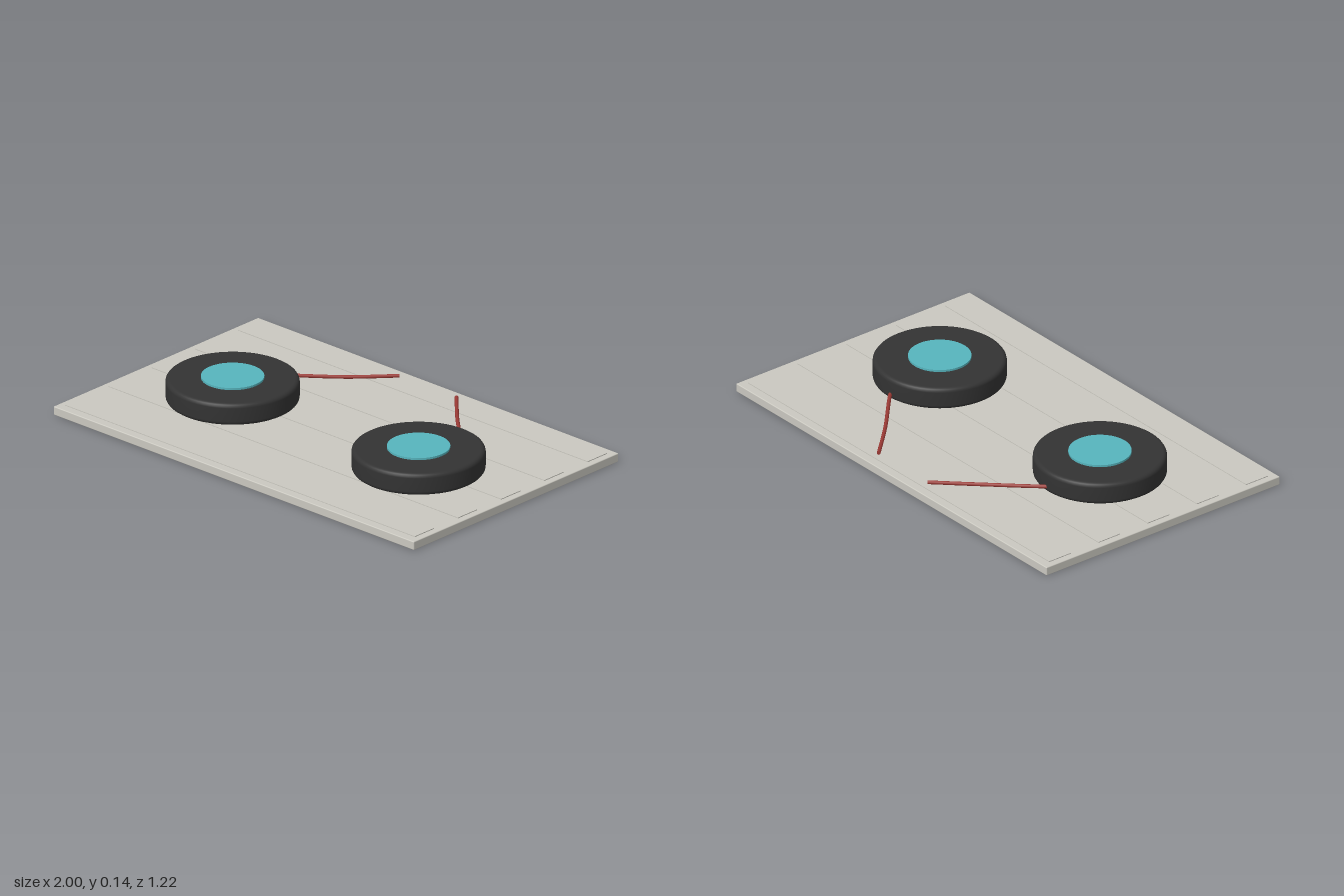
import * as THREE from 'three';
import { RoundedBoxGeometry } from 'three/addons/geometries/RoundedBoxGeometry.js';

const stone = new THREE.MeshStandardMaterial({ color: 0xcac8c0 });
const rubber = new THREE.MeshStandardMaterial({ color: 0x333333 });
const teal = new THREE.MeshStandardMaterial({ color: 0x56b4bd });
const red = new THREE.MeshStandardMaterial({ color: 0x9c3a35 });
stone.name = 'pale stone';
rubber.name = 'black rubber';
teal.name = 'teal';
red.name = 'dark red';

function add(parent, name, geometry, material, x = 0, y = 0, z = 0) {
  const mesh = new THREE.Mesh(geometry, material);
  mesh.name = name;
  mesh.position.set(x, y, z);
  parent.add(mesh);
  return mesh;
}

// Solid disc with softly rounded rims
function discGeometry(radius, bottom, top, round) {
  const points = [new THREE.Vector2(0, bottom)];
  const steps = 4;
  for (const [cy, from] of [[bottom + round, -Math.PI / 2], [top - round, 0]]) {
    for (let i = 0; i <= steps; i++) {
      const a = from + (i / steps) * Math.PI / 2;
      points.push(new THREE.Vector2(radius - round + round * Math.cos(a), cy + round * Math.sin(a)));
    }
  }
  points.push(new THREE.Vector2(0, top));
  return new THREE.LatheGeometry(points, 64);
}

export function createModel() {
  const model = new THREE.Group();
  model.name = 'deck with two discs';

  // Base slab and its five slightly raised planks
  add(model, 'baseSlab', new RoundedBoxGeometry(2, 0.038, 1.22, 2, 0.004), stone, 0, 0.019, 0);
  for (let i = -2; i <= 2; i++) {
    add(model, 'plank', new THREE.BoxGeometry(1.94, 0.008, 0.114), stone, 0, 0.0375, i * 0.2575);
  }

  for (const side of [-1, 1]) {
    // Thick disc with a coloured centre plate
    const disc = new THREE.Group();
    disc.name = side > 0 ? 'leftDisc' : 'rightDisc';
    disc.position.set(side * 0.516, 0, 0.062);
    add(disc, 'tyre', discGeometry(0.273, 0.039, 0.135, 0.018), rubber);
    add(disc, 'centrePlate', new THREE.CylinderGeometry(0.129, 0.129, 0.014, 48), teal, 0, 0.137, 0);
    model.add(disc);

    // Cable running from the disc to the back of the slab
    const path = new THREE.CatmullRomCurve3([
      [0.56, 0.065, -0.14], [0.505, 0.0625, -0.205], [0.31, 0.053, -0.39], [0.158, 0.053, -0.548],
    ].map(([x, y, z]) => new THREE.Vector3(side * x, y, z)));
    add(model, 'cable', new THREE.TubeGeometry(path, 24, 0.008, 8), red);
    const end = path.getPoint(1);
    const cap = add(model, 'cableEnd', new THREE.CircleGeometry(0.008, 8), red, end.x, end.y, end.z);
    cap.lookAt(end.clone().add(path.getTangent(1)));
  }
  return model;
}
